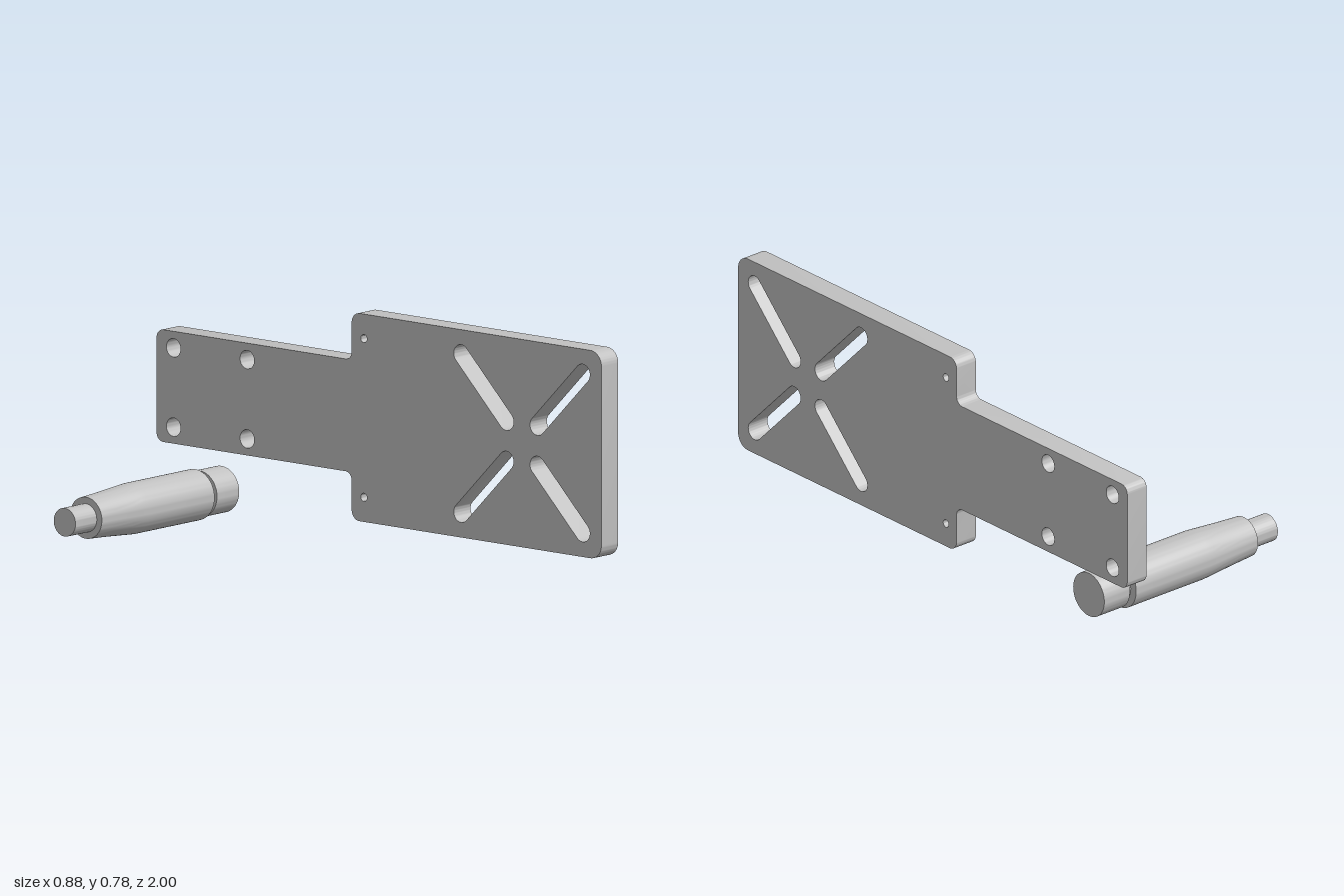
import * as THREE from 'three';
import { toCreasedNormals } from 'three/addons/utils/BufferGeometryUtils.js';

const MID_Y = 0.419; // height of the plate's line of symmetry

// Closed outline of right-angled corners [x, y, radius], each rounded by a quarter arc
function roundedOutline(corners) {
  const shape = new THREE.Shape();
  const k = 0.4477;
  corners.forEach(([x, y, r], i) => {
    const p = new THREE.Vector2(x, y);
    const prev = corners[(i + corners.length - 1) % corners.length];
    const next = corners[(i + 1) % corners.length];
    const toPrev = new THREE.Vector2(prev[0], prev[1]).sub(p).setLength(r);
    const toNext = new THREE.Vector2(next[0], next[1]).sub(p).setLength(r);
    const a = p.clone().add(toPrev);
    const b = p.clone().add(toNext);
    if (i === 0) shape.moveTo(a.x, a.y);
    else shape.lineTo(a.x, a.y);
    shape.bezierCurveTo(
      x + toPrev.x * k, y + toPrev.y * k,
      x + toNext.x * k, y + toNext.y * k, b.x, b.y);
  });
  shape.closePath();
  return shape;
}

function roundHole(x, y, r) {
  return new THREE.Path().absarc(x, y, r, 0, Math.PI * 2, true);
}

// Slot with round ends from (x1, y1) to (x2, y2)
function slotHole(x1, y1, x2, y2, r) {
  const a = Math.atan2(y2 - y1, x2 - x1);
  const path = new THREE.Path();
  path.absarc(x2, y2, r, a - Math.PI / 2, a + Math.PI / 2, false);
  path.absarc(x1, y1, r, a + Math.PI / 2, a + Math.PI * 1.5, false);
  path.closePath();
  return path;
}

function createPlate(material) {
  // Wide head and narrow tail; shape x runs along the model's z
  const shape = roundedOutline([
    [1, 0.06, 0.05], [1, 0.778, 0.05],
    [-0.123, 0.778, 0.035], [-0.123, 0.613, 0.028],
    [-1, 0.613, 0.03], [-1, 0.225, 0.03],
    [-0.123, 0.225, 0.028], [-0.123, 0.06, 0.035],
  ]);

  for (const sy of [-1, 1]) {
    // Diagonal slots
    for (const sx of [-1, 1]) {
      shape.holes.push(slotHole(
        0.642 + sx * 0.07, MID_Y + sy * 0.069,
        0.642 + sx * 0.273, MID_Y + sy * 0.274, 0.033));
    }
    // Bolt holes in the tail and small pin holes in the head
    for (const x of [-0.593, -0.924]) shape.holes.push(roundHole(x, MID_Y + sy * 0.137, 0.032));
    shape.holes.push(roundHole(-0.068, MID_Y + sy * 0.274, 0.014));
  }

  const geometry = new THREE.ExtrudeGeometry(shape, { depth: 0.087, bevelEnabled: false, curveSegments: 16 });
  geometry.rotateY(-Math.PI / 2);
  const plate = new THREE.Mesh(toCreasedNormals(geometry, 0.6), material);
  plate.name = 'mountingPlate';
  plate.position.x = 0.44;
  return plate;
}

// Solid of revolution around x from [x, radius] points, closed at both ends
function turned(name, profile, material) {
  const first = profile[0];
  const last = profile[profile.length - 1];
  const points = [[first[0], 0], ...profile, [last[0], 0]]
    .map(([x, r]) => new THREE.Vector2(r, x));
  const geometry = new THREE.LatheGeometry(points, 64).rotateZ(-Math.PI / 2);
  const mesh = new THREE.Mesh(toCreasedNormals(geometry, 0.6), material);
  mesh.name = name;
  return mesh;
}

function createHandle(material) {
  const handle = new THREE.Group();
  handle.name = 'handle';
  handle.position.set(0, 0.09, -0.725);
  handle.add(
    turned('endStub', [[-0.44, 0.049], [-0.33, 0.049]], material),
    turned('grip', [[-0.33, 0.072], [-0.25, 0.0768], [-0.17, 0.0828], [-0.13, 0.086],
      [-0.1, 0.088], [0.235, 0.088]], material),
    turned('neck', [[0.235, 0.06], [0.257, 0.06]], material),
    turned('collar', [[0.257, 0.08], [0.372, 0.08]], material),
  );
  return handle;
}

export function createModel() {
  const metal = new THREE.MeshStandardMaterial({ color: 0xc0c0c0 });
  metal.name = 'light grey metal';
  const model = new THREE.Group();
  model.name = 'plateAndHandle';
  model.add(createPlate(metal), createHandle(metal));
  return model;
}
